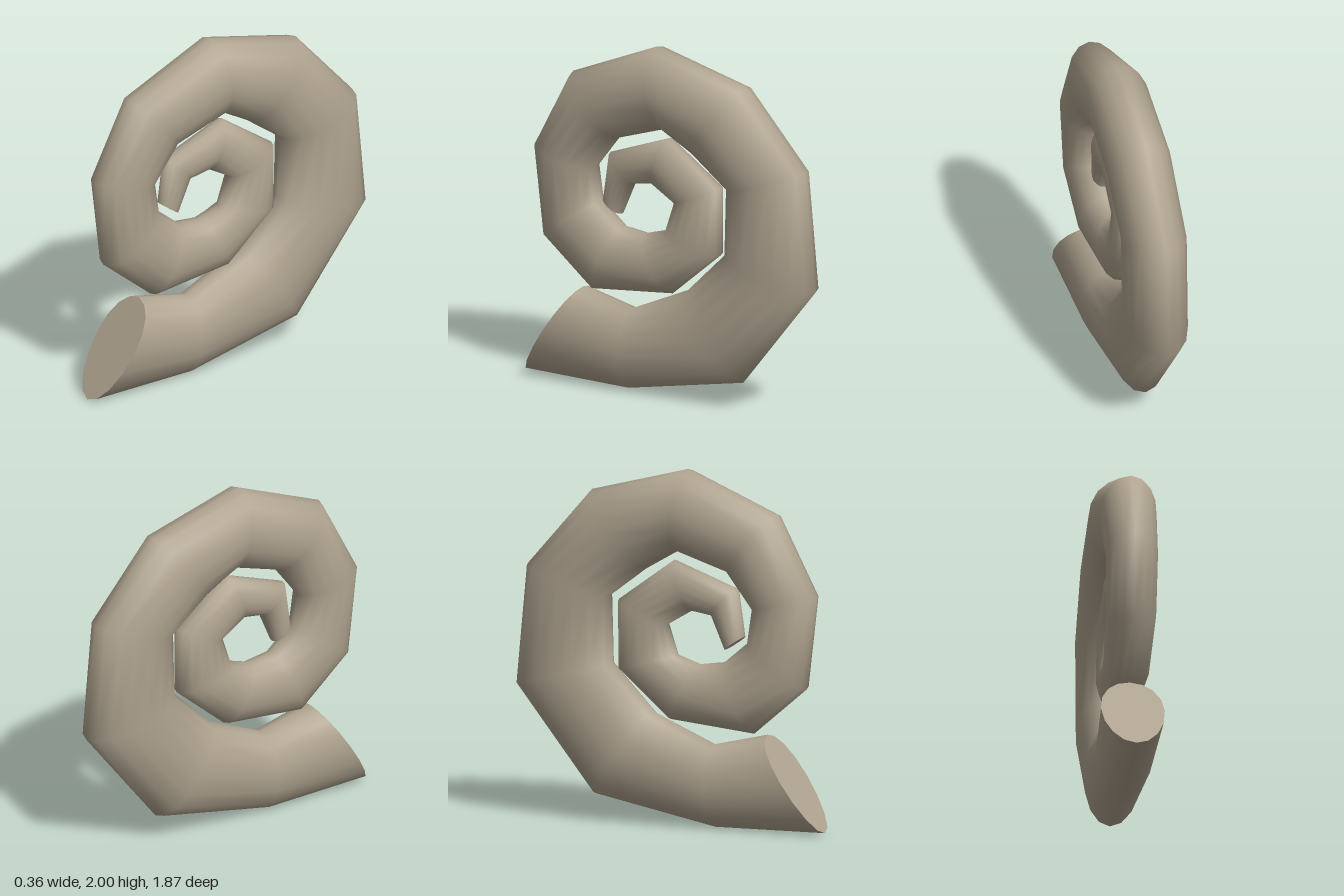
import * as THREE from 'three';

const SIDES = 16;

// Rings along the spiral: outer z, outer y, inner z, inner y, half width, egg shift toward inner edge
const RINGS = [
  [0.935, 0.01, 0.585, 0.54, 0.178, 0.2],
  [0.27, 0.003, 0.26, 0.465, 0.158, 0],
  [-0.46, 0.145, -0.1, 0.625, 0.162, 0],
  [-0.932, 0.74, -0.355, 0.88, 0.17, 0],
  [-0.865, 1.415, -0.37, 1.26, 0.176, 0],
  [-0.48, 1.85, -0.15, 1.425, 0.178, 0],
  [0.105, 2.0, 0.04, 1.535, 0.178, 0],
  [0.65, 1.775, 0.35, 1.435, 0.158, 0],
  [0.885, 1.33, 0.5, 1.24, 0.145, 0],
  [0.825, 0.81, 0.47, 1.05, 0.14, 0],
  [0.505, 0.54, 0.325, 0.93, 0.13, 0],
  [0.0, 0.59, 0.18, 0.91, 0.12, 0],
  [-0.315, 0.86, 0.04, 0.95, 0.112, 0],
  [-0.315, 1.245, -0.02, 1.12, 0.104, 0],
  [0.02, 1.485, 0.125, 1.205, 0.094, 0],
  [0.405, 1.345, 0.25, 1.185, 0.08, 0],
  [0.445, 1.08, 0.33, 1.0, 0.06, 0],
];

// Points of one oval ring, from outer edge round to inner edge and back
function ringPoints([oz, oy, iz, iy, w, egg]) {
  const points = [];
  for (let j = 0; j < SIDES; j++) {
    const a = (j / SIDES) * Math.PI * 2;
    const t = 0.5 - 0.5 * Math.cos(a) + 0.25 * egg * Math.sin(a) ** 2;
    points.push(Math.sin(a) * w, oy + (iy - oy) * t, oz + (iz - oz) * t);
  }
  return points;
}

function makeGeometry(points, index) {
  const g = new THREE.BufferGeometry();
  g.setAttribute('position', new THREE.Float32BufferAttribute(points, 3));
  g.setIndex(index);
  g.computeVertexNormals();
  return g;
}

// Smooth skin joining all rings
function skinGeometry() {
  const index = [];
  for (let i = 0; i < RINGS.length - 1; i++) {
    for (let j = 0; j < SIDES; j++) {
      const k = (j + 1) % SIDES;
      const a = i * SIDES + j, b = a + SIDES;
      const c = i * SIDES + k, d = c + SIDES;
      index.push(a, b, c, c, b, d);
    }
  }
  return makeGeometry(RINGS.flatMap(ringPoints), index);
}

// Flat end face
function capGeometry(ring, reversed) {
  const index = [];
  for (let j = 1; j < SIDES - 1; j++) {
    if (reversed) index.push(0, j + 1, j);
    else index.push(0, j, j + 1);
  }
  return makeGeometry(ringPoints(ring), index);
}

export function createModel() {
  const model = new THREE.Group();
  model.name = 'spiralHorn';
  const horn = new THREE.MeshStandardMaterial({ color: 0xb0a490 });
  horn.name = 'taupe horn';

  const add = (name, geometry) => {
    const mesh = new THREE.Mesh(geometry, horn);
    mesh.name = name;
    model.add(mesh);
  };
  add('hornCoil', skinGeometry());
  add('baseCap', capGeometry(RINGS[0], false));
  add('tipCap', capGeometry(RINGS[RINGS.length - 1], true));
  return model;
}
